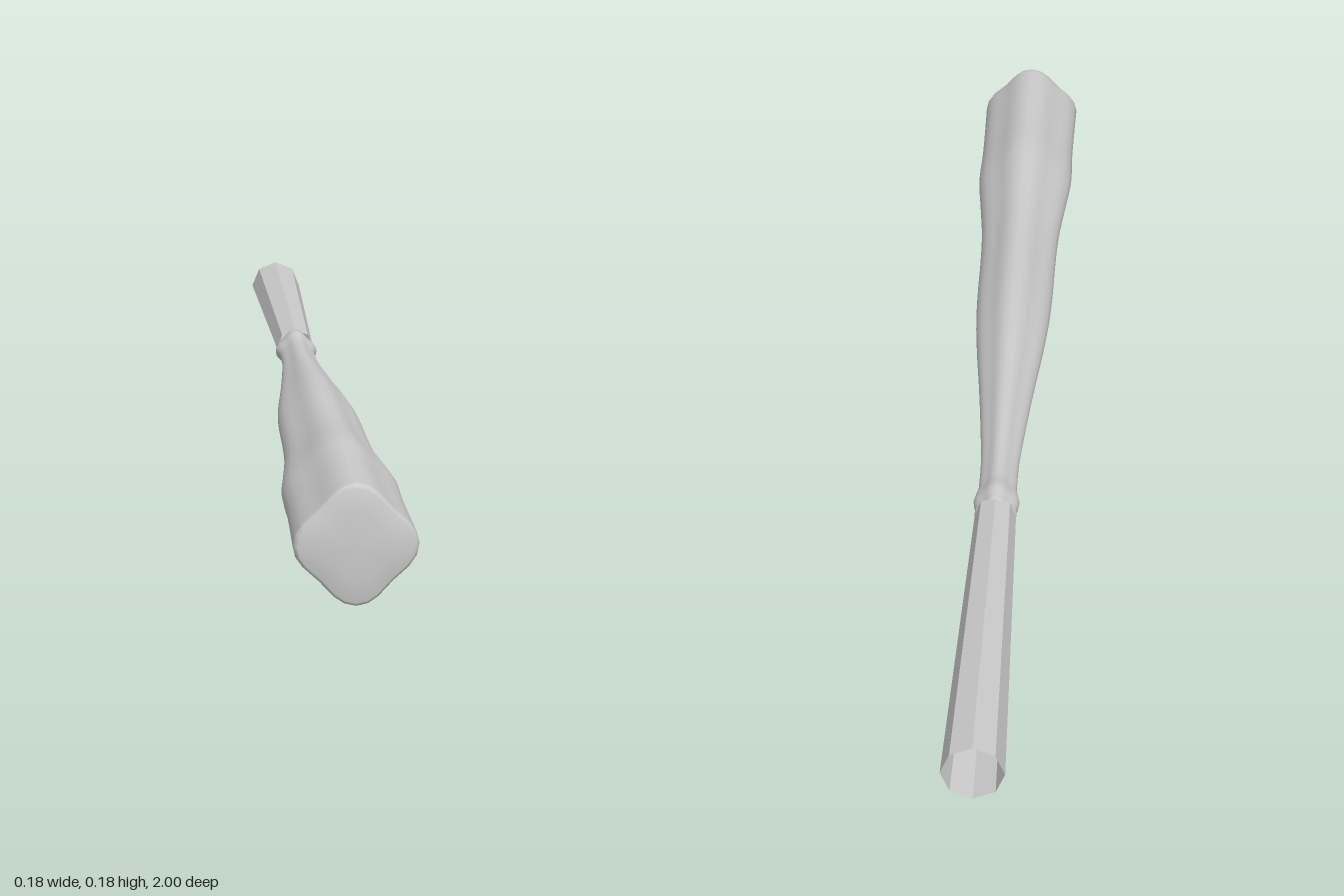
import * as THREE from 'three';
import { mergeVertices } from 'three/addons/utils/BufferGeometryUtils.js';

const AXIS_HEIGHT = 0.09;

// Turned profile laid along z, with its round section pulled into a soft diamond
function softDiamondLathe(profile, segments) {
  let geo = new THREE.LatheGeometry(profile, segments);
  const pos = geo.attributes.position;
  for (let i = 0; i < pos.count; i++) {
    const x = pos.getX(i), z = pos.getZ(i);
    const s = 0.915 + 0.085 * Math.cos(4 * Math.atan2(z, x));
    pos.setX(i, x * s);
    pos.setZ(i, z * s);
  }
  geo.deleteAttribute('uv');
  geo.deleteAttribute('normal');
  geo = mergeVertices(geo, 1e-5);
  geo.rotateX(Math.PI / 2);
  geo.computeVertexNormals();
  return geo;
}

export function createModel() {
  const group = new THREE.Group();
  group.name = 'club';

  // Body: [radius, z] from the neck to the thick front end
  const outline = [
    [0.031, -0.3], [0.031, -0.25], [0.033, -0.2], [0.04, -0.1], [0.048, 0],
    [0.057, 0.1], [0.064, 0.2], [0.067, 0.3], [0.068, 0.4], [0.071, 0.5],
    [0.079, 0.6], [0.087, 0.7], [0.086, 0.8], [0.087, 0.9], [0.0885, 0.985],
  ].map(([r, z]) => new THREE.Vector2(r, z));
  const body = new THREE.SplineCurve(outline).getPoints(56);
  // Collar bead behind the neck, and the shallow front cap
  const collar = [[0.001, -0.385], [0.029, -0.383], [0.034, -0.372], [0.033, -0.362],
    [0.036, -0.35], [0.037, -0.338], [0.035, -0.325], [0.032, -0.312]];
  const cap = [[0.087, 0.991], [0.082, 0.995], [0.05, 0.998], [0, 1]];
  const toVec = ([r, z]) => new THREE.Vector2(r, z);
  const clubBody = new THREE.Mesh(
    softDiamondLathe([...collar.map(toVec), ...body, ...cap.map(toVec)], 32),
    new THREE.MeshStandardMaterial({ color: 0xcccccc, side: THREE.DoubleSide })
  );
  clubBody.name = 'body';
  clubBody.position.y = AXIS_HEIGHT;
  group.add(clubBody);

  // Handle: open eight-sided tube flaring towards the back
  const handleGeo = new THREE.CylinderGeometry(0.033, 0.047, 0.63, 8, 1, true);
  handleGeo.rotateX(Math.PI / 2);
  const handle = new THREE.Mesh(
    handleGeo,
    new THREE.MeshStandardMaterial({ color: 0xcccccc, flatShading: true, side: THREE.DoubleSide })
  );
  handle.name = 'handle';
  handle.position.set(0, AXIS_HEIGHT, -0.685);
  group.add(handle);

  return group;
}
